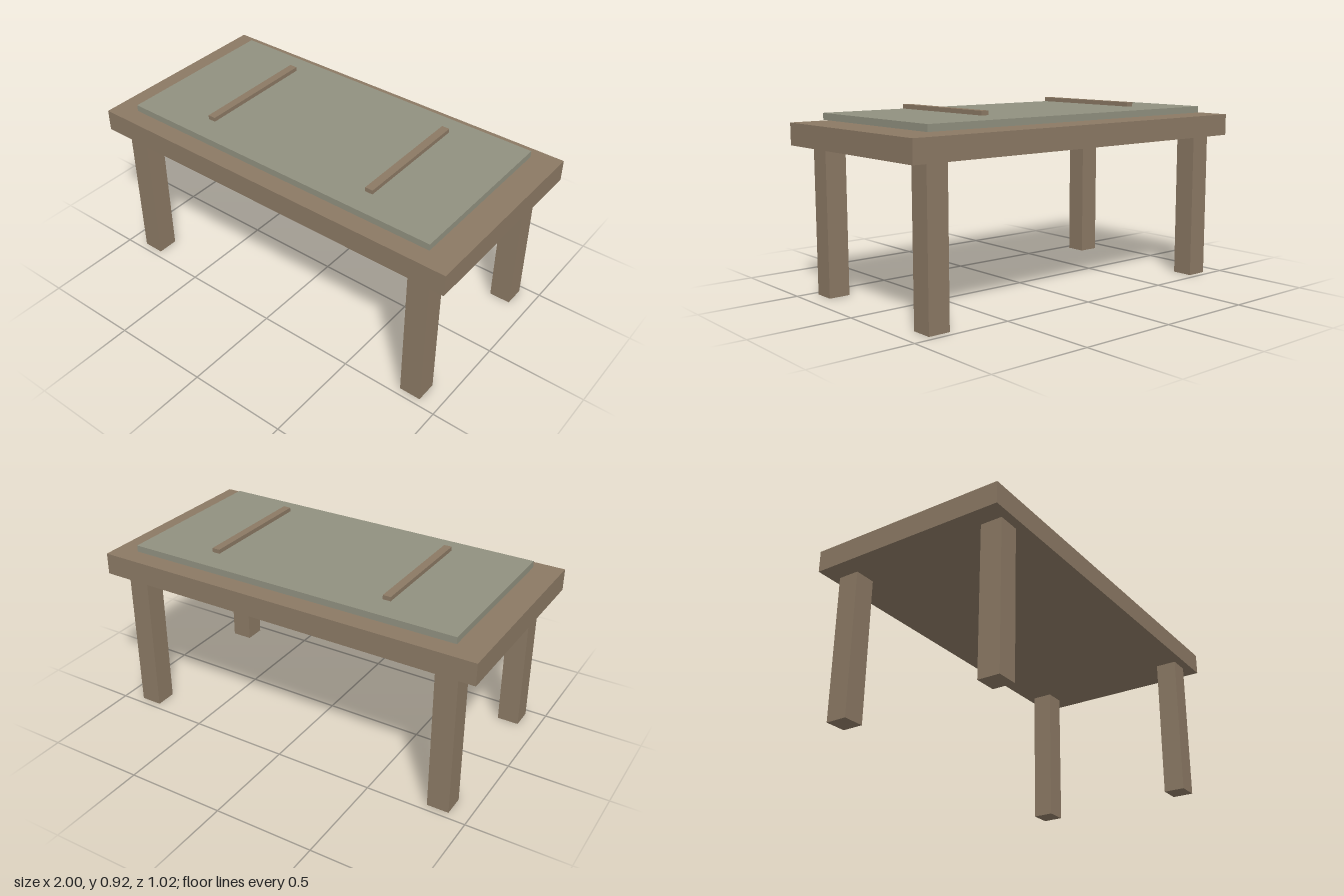
import * as THREE from 'three';

export function createModel() {
  const model = new THREE.Group();
  const wood = new THREE.MeshStandardMaterial({ color: 0x8b7964 });
  wood.name = 'brown wood';
  const cloth = new THREE.MeshStandardMaterial({ color: 0x90907f });
  cloth.name = 'grey green panel';

  // Box spanning y0 to y1, centred on x and z
  function slab(name, material, width, depth, y0, y1, x = 0, z = 0) {
    const mesh = new THREE.Mesh(new THREE.BoxGeometry(width, y1 - y0, depth), material);
    mesh.position.set(x, (y0 + y1) / 2, z);
    mesh.name = name;
    model.add(mesh);
  }

  // Table top and the panel hovering just above it
  slab('tableTop', wood, 2, 1.016, 0.738, 0.847);
  slab('panel', cloth, 1.736, 0.854, 0.858, 0.891);

  for (const side of [-1, 1]) {
    const label = side > 0 ? 'left' : 'right';
    // Thin rail over the panel
    slab(label + 'Rail', wood, 0.04, 0.618, 0.901, 0.922, side * 0.47);
    // Legs
    for (const end of [-1, 1]) {
      slab(label + (end > 0 ? 'FrontLeg' : 'BackLeg'), wood, 0.109, 0.109, 0, 0.738, side * 0.848, end * 0.41);
    }
  }
  return model;
}
